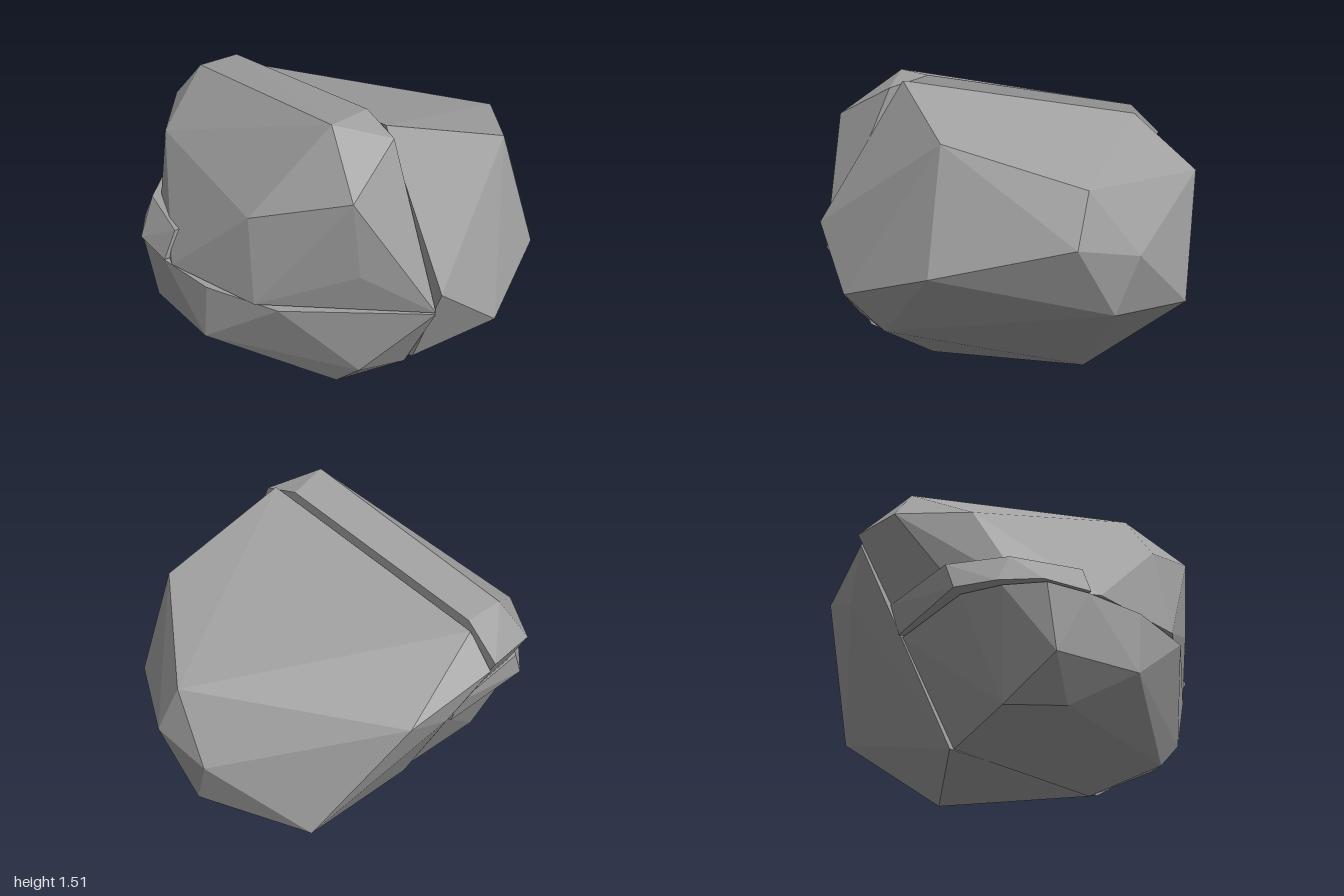
import * as THREE from 'three';
import { ConvexGeometry } from 'three/addons/geometries/ConvexGeometry.js';

const stone = new THREE.MeshStandardMaterial({ color: 0xa0a0a0, flatShading: true });
stone.name = 'grey stone';

// One faceted chunk: the convex hull of its corner points
function chunk(name, corners) {
  const points = corners.map(([x, y, z]) => new THREE.Vector3(x, y, z));
  const mesh = new THREE.Mesh(new ConvexGeometry(points), stone);
  mesh.name = name;
  return mesh;
}

export function createModel() {
  const group = new THREE.Group();
  group.name = 'splitBoulder';

  // Large half, flat along the vertical split
  const cut = -0.163;
  group.add(chunk('mainChunk', [
    [cut, 1.465, 0.53], [cut, 0.77, 0.98], [cut, 0.28, 0.78], [cut, 0.025, 0.38],
    [cut, 0.12, -0.45], [cut, 1.09, -0.96], [cut, 1.25, -0.82],
    [0.52, 1.215, 0.59], [0.93, 1.02, 0.03], [1, 0.76, 0.12], [0.65, 0.61, 0.71],
    [0.19, 0.47, 0.97], [0.26, 0.285, 0.79], [0.31, 0, -0.27], [0.955, 0.43, -0.1],
    [0.99, 0.71, -0.21], [0.7, 0.39, -0.64], [0.33, 0.99, -0.915], [0.07, 0.89, -0.905],
  ]));

  // Upper part of the small half
  const side = -0.168;
  group.add(chunk('upperChunk', [
    [-0.41, 1.51, 0.45], [side, 1.43, 0.6], [side, 1.49, 0.39], [-0.51, 1.28, 0.76],
    [-0.47, 0.87, 0.76], [side, 0.652, 0.95], [-0.8, 1.09, 0.33], [-0.83, 0.652, 0.4],
    [-0.99, 0.652, -0.11], [-0.39, 1.3, -0.8], [side, 1.3, -0.8], [side, 1.14, -0.98],
    [-0.48, 1.11, -0.925], [-0.71, 1.085, -0.63], [side, 0.8, -0.78],
    [side, 0.652, -0.7], [-0.66, 0.652, -0.64], [-0.88, 0.652, -0.45],
  ]));

  // Thin ledge around the back of the horizontal crack
  group.add(chunk('backLedge', [
    [side, 0.652, -0.74], [-0.73, 0.652, -0.73], [-0.885, 0.652, -0.595],
    [-1, 0.652, -0.42], [-1, 0.652, -0.17],
    [side, 0.8, -0.79], [-0.66, 0.8, -0.74], [-0.87, 0.8, -0.52], [-0.93, 0.8, -0.17],
    [side, 0.652, -0.17], [side, 0.8, -0.17],
  ]));

  // Lower part of the small half
  group.add(chunk('lowerChunk', [
    [side, 0.643, 0.95], [side, 0.21, 0.72], [-0.43, 0.26, 0.7], [-0.76, 0.643, 0.5],
    [-0.94, 0.643, 0.14], [-0.95, 0.33, 0.11], [-0.97, 0.33, -0.34], [-0.83, 0.15, -0.2],
    [-0.7, 0.15, -0.46], [-0.47, 0.12, 0.56], [side, 0.012, 0.33], [side, 0.12, -0.43],
    [side, 0.643, -0.72], [-0.7, 0.643, -0.68], [-0.87, 0.643, -0.56],
    [-0.995, 0.643, -0.4], [-0.995, 0.643, -0.18],
  ]));

  return group;
}
